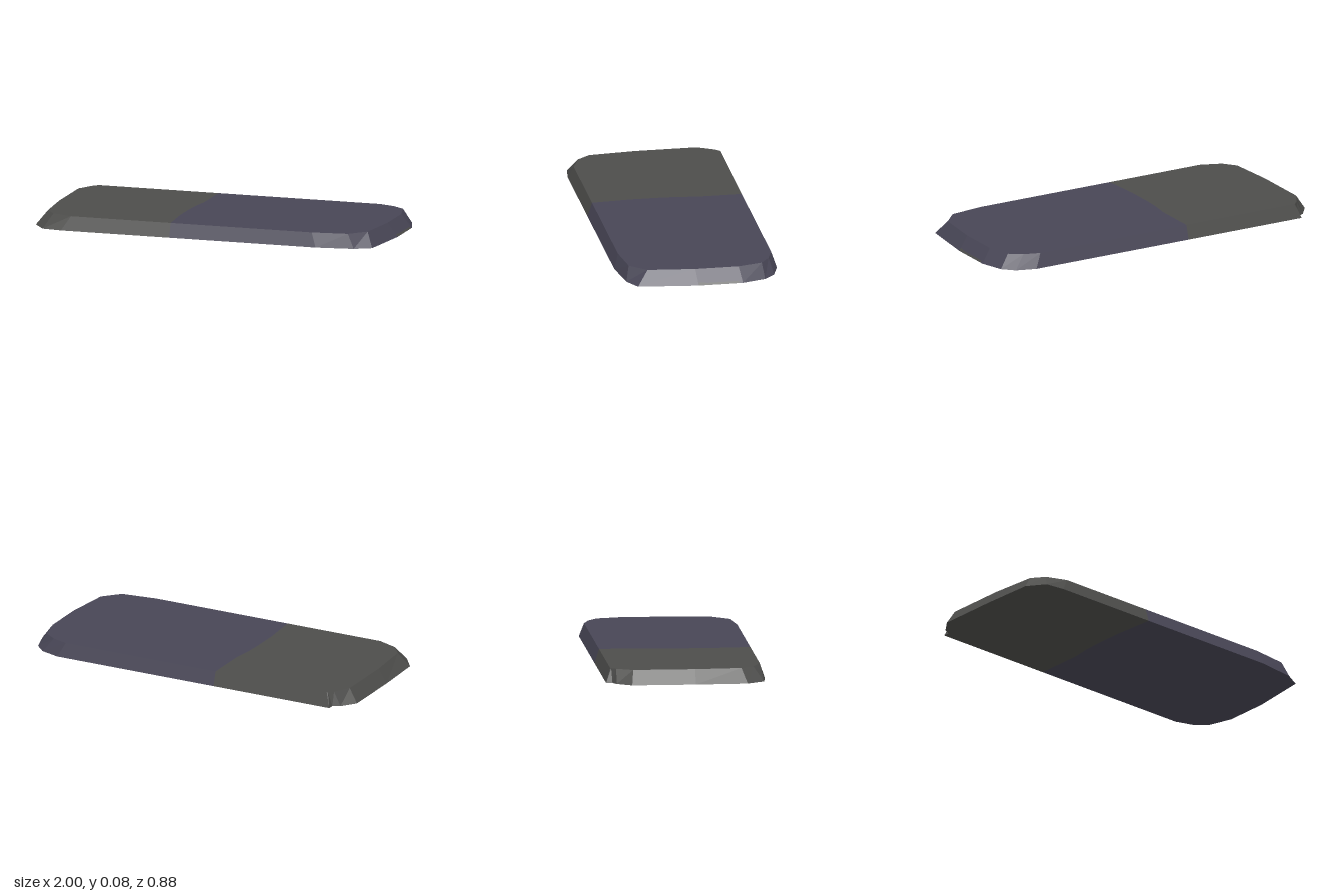
import * as THREE from 'three';

const HEIGHT = 0.078;

// Builds part of the slab from matching outline points [bottom x, z, top x, z],
// listed clockwise from above; the seam closes the caps but gets no wall.
function slabPart(name, rim, seam, material) {
  const loop = [...rim, ...seam];
  const low = loop.map(p => new THREE.Vector3(p[0], 0, p[1]));
  const high = loop.map(p => new THREE.Vector3(p[2], HEIGHT, p[3]));
  const pos = [];
  const tri = (...v) => v.forEach(p => pos.push(p.x, p.y, p.z));

  // Caps, each triangle turned to face up or down
  for (const [pts, dir] of [[high, 1], [low, -1]]) {
    const flat = pts.map(p => new THREE.Vector2(p.x, p.z));
    for (const [i, j, k] of THREE.ShapeUtils.triangulateShape(flat, [])) {
      const [a, b, c] = [pts[i], pts[j], pts[k]];
      const up = (b.z - a.z) * (c.x - a.x) - (b.x - a.x) * (c.z - a.z);
      if (up * dir > 0) tri(a, b, c);
      else tri(a, c, b);
    }
  }
  // Sloping walls along the rim
  for (let i = 0; i < rim.length - 1; i++) {
    tri(low[i + 1], low[i], high[i]);
    tri(low[i + 1], high[i], high[i + 1]);
  }
  const geo = new THREE.BufferGeometry();
  geo.setAttribute('position', new THREE.Float32BufferAttribute(pos, 3));
  geo.computeVertexNormals();
  const mesh = new THREE.Mesh(geo, material);
  mesh.name = name;
  return mesh;
}

export function createModel() {
  const model = new THREE.Group();
  model.name = 'slab';
  const grey = new THREE.MeshStandardMaterial({ color: 0x4d4d4b, flatShading: true });
  grey.name = 'warm grey';
  const violet = new THREE.MeshStandardMaterial({ color: 0x484656, flatShading: true });
  violet.name = 'dusky violet';

  // Slightly wavy colour boundary, from back to front
  const cutBack = [-0.18, -0.445, -0.18, -0.42];
  const cutFront = [-0.185, 0.44, -0.185, 0.415];
  const seam = [[-0.18, -0.17], [-0.195, -0.06], [-0.2, 0.05], [-0.2, 0.2]]
    .map(([x, z]) => [x, z, x, z]);

  const violetRim = [
    cutBack,
    [0.79, -0.445, 0.75, -0.42],
    [0.9, -0.41, 0.84, -0.39],
    [0.96, -0.35, 0.91, -0.34],
    [1, -0.22, 0.945, -0.205],
    [1, 0.03, 0.945, 0.04],
    [0.96, 0.36, 0.915, 0.3],
    [0.87, 0.41, 0.83, 0.39],
    [0.66, 0.44, 0.63, 0.415],
    cutFront,
  ];
  const greyRim = [
    cutFront,
    [-0.81, 0.44, -0.76, 0.415],
    [-0.92, 0.425, -0.875, 0.37],
    [-0.99, 0.33, -0.93, 0.3],
    [-1, 0.04, -0.95, 0.04],
    [-1, -0.31, -0.95, -0.3],
    [-0.94, -0.39, -0.9, -0.39],
    [-0.9, -0.41, -0.875, -0.415],
    [-0.9, -0.445, -0.87, -0.42],
    cutBack,
  ];
  model.add(slabPart('violetEnd', violetRim, [...seam].reverse(), violet));
  model.add(slabPart('greyEnd', greyRim, seam, grey));

  // Thin grey smudge along the foot of the violet end wall
  const smudge = new THREE.Shape([[-0.03, 0], [0.2, 0], [0.2, 0.012], [0.02, 0.012], [-0.03, 0.018]]
    .map(([x, y]) => new THREE.Vector2(x, y)));
  const patch = new THREE.Mesh(new THREE.ShapeGeometry(smudge), grey);
  patch.name = 'endSmudge';
  patch.rotation.set(-Math.atan2(0.055, HEIGHT), Math.PI / 2, 0, 'YXZ');
  patch.position.set(1.001, 0.001, 0);
  model.add(patch);
  return model;
}
